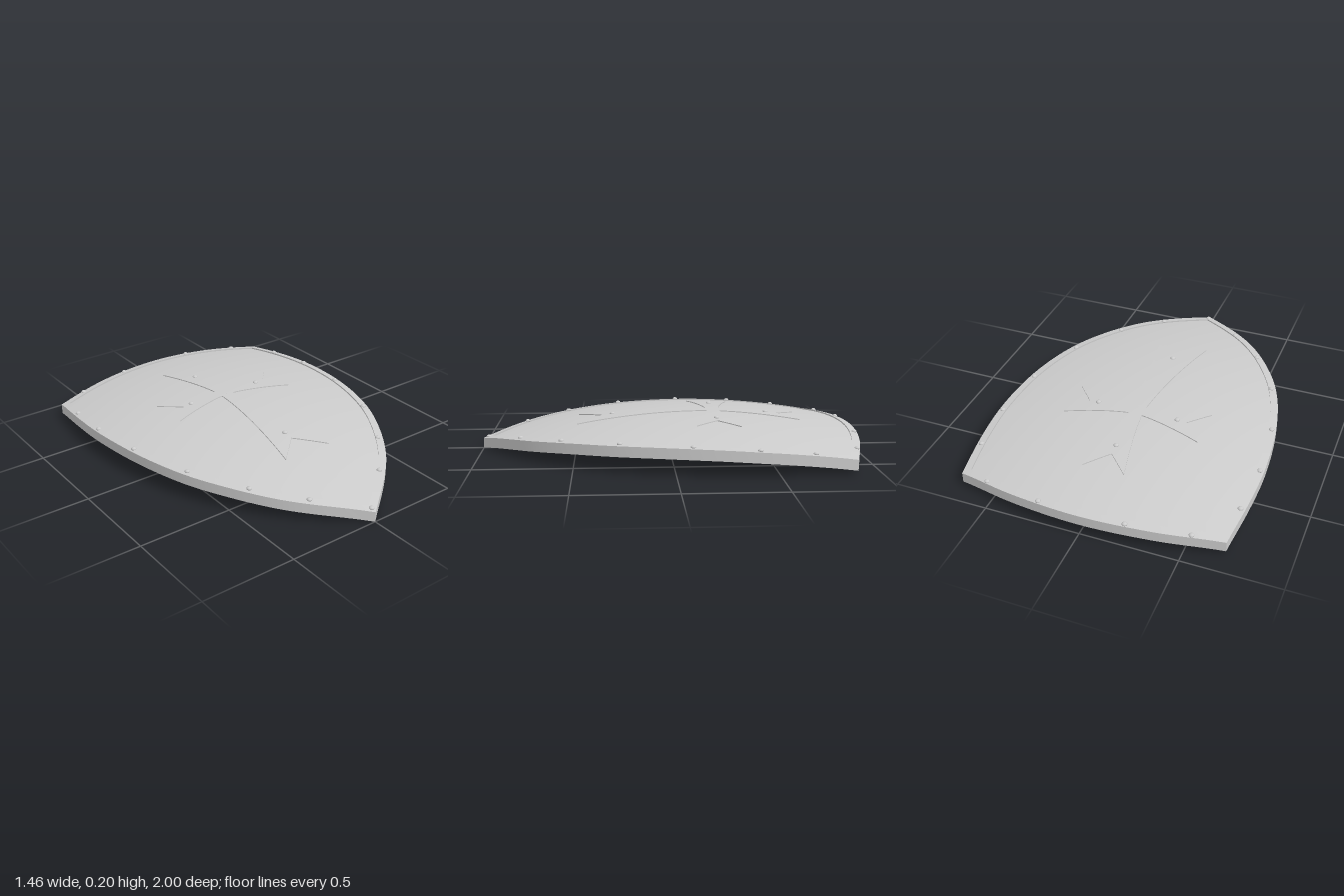
import * as THREE from 'three';
import { toCreasedNormals } from 'three/addons/utils/BufferGeometryUtils.js';

const THICK = 0.054, RIM_WIDTH = 0.04, RECESS = 0.008;
const material = new THREE.MeshStandardMaterial({ color: 0xcccccc });

// Height of the domed upper surface at rim level
const dome = (x, z) => 0.205 - 0.138 * x * x - 0.12 * (z + 0.12) ** 2;

function mesh(name, geometry, parent) {
  const m = new THREE.Mesh(geometry, material);
  m.name = name;
  parent.add(m);
  return m;
}

// Grid surface through rows of [x, y, z] points
function skin(rows, closed) {
  const n = rows[0].length, index = [];
  for (let r = 0; r < rows.length - 1; r++) {
    for (let i = 0; i < (closed ? n : n - 1); i++) {
      const j = (i + 1) % n, a = r * n, b = a + n;
      index.push(a + i, a + j, b + i, a + j, b + j, b + i);
    }
  }
  const g = new THREE.BufferGeometry();
  g.setAttribute('position', new THREE.Float32BufferAttribute(rows.flat(2), 3));
  g.setIndex(index);
  return toCreasedNormals(g, 0.5);
}

// Shield outline as [x, z], from the point along the left side and back round the right
function outline() {
  const curve = (pts, n) => new THREE.CatmullRomCurve3(
    pts.map(([x, z]) => new THREE.Vector3(x, 0, z))).getPoints(n).map(p => [p.x, p.z]);
  const side = curve([[0, 1], [0.24, 0.81], [0.36, 0.69], [0.49, 0.51], [0.61, 0.28],
    [0.695, -0.02], [0.73, -0.35], [0.722, -0.6], [0.69, -0.88]], 36);
  const top = curve([[0.69, -0.88], [0.36, -0.965], [0, -1], [-0.36, -0.965], [-0.69, -0.88]], 24);
  const mirrored = side.slice(1, -1).reverse().map(([x, z]) => [-x, z]);
  return [...side, ...top.slice(1), ...mirrored];
}

// Mitred inward offset of a closed outline
function inset(pts, d) {
  const n = pts.length;
  const normal = (a, b) => {
    const dx = b[0] - a[0], dz = b[1] - a[1], l = Math.hypot(dx, dz);
    return [dz / l, -dx / l];
  };
  return pts.map((p, i) => {
    const a = normal(pts[(i + n - 1) % n], p), b = normal(p, pts[(i + 1) % n]);
    const k = d / (1 + a[0] * b[0] + a[1] * b[1]);
    return [p[0] + (a[0] + b[0]) * k, p[1] + (a[1] + b[1]) * k];
  });
}

// Loop laid on the dome, optionally shrunk towards the middle
const ring = (pts, dy, t = 1) => pts.map(([x, z]) => {
  const px = x * t, pz = -0.12 + (z + 0.12) * t;
  return [px, dome(px, pz) + dy, pz];
});

// Flared cross arm with a notched end, lying on the panel
function crossArm(angle, tip, notch, w0, w1) {
  const NU = 16, NV = 8, rows = [], c = Math.cos(angle), s = Math.sin(angle);
  for (let i = -1; i <= NU + 1; i++) {
    const row = [];
    for (let j = -1; j <= NV + 1; j++) {
      const skirt = i < 0 || j < 0 || i > NU || j > NV;
      const u = THREE.MathUtils.clamp(i / NU, 0, 1);
      const v = THREE.MathUtils.clamp(j / NV, 0, 1) * 2 - 1;
      const along = u * THREE.MathUtils.lerp(notch, tip, Math.abs(v));
      const across = v * THREE.MathUtils.lerp(w0, w1, u ** 1.35);
      const x = along * s + across * c, z = -0.24 + along * c - across * s;
      row.push([x, dome(x, z) - RECESS + (skirt ? -0.004 : 0.005), z]);
    }
    rows.push(row);
  }
  // Reverse rows so that the faces point up
  return skin(rows.reverse(), false);
}

function rivet(parent, x, z, dy, flip = 1) {
  const g = new THREE.SphereGeometry(0.014, 14, 8);
  const m = mesh('rivet', g, parent);
  m.scale.y = 0.65;
  m.position.set(x, dome(x, z) + dy + 0.001 * flip, z);
}

// Curved grip strap with its two mounting pads
function handle(side) {
  const group = new THREE.Group();
  group.name = side > 0 ? 'leftHandle' : 'rightHandle';
  const ends = [[0.18 * side, 0.03], [0.28 * side, -0.47]];
  const dx = ends[1][0] - ends[0][0], dz = ends[1][1] - ends[0][1];
  const length = Math.hypot(dx, dz), N = 28, outer = [], inner = [];
  for (let i = 0; i <= N; i++) {
    const a = Math.PI * i / N;
    outer.push(new THREE.Vector2(-Math.cos(a) * length / 2, -0.118 * Math.sin(a) ** 0.8));
    inner.push(new THREE.Vector2(-Math.cos(a) * (length / 2 - 0.014), -0.104 * Math.sin(a) ** 0.8));
  }
  const g = new THREE.ExtrudeGeometry(new THREE.Shape([...outer, ...inner.reverse()]), {
    depth: 0.034, bevelEnabled: true, bevelSize: 0.003, bevelThickness: 0.004, bevelSegments: 1,
  });
  g.translate(0, 0, -0.017);
  const strap = mesh('strap', toCreasedNormals(g, 0.6), group);
  const mx = (ends[0][0] + ends[1][0]) / 2, mz = (ends[0][1] + ends[1][1]) / 2;
  strap.position.set(mx, dome(mx, mz) - THICK + 0.002, mz);
  strap.rotation.y = Math.atan2(-dz, dx);
  for (const [x, z] of ends) {
    const pad = mesh('handlePad', new THREE.CylinderGeometry(0.032, 0.028, 0.012, 20), group);
    pad.position.set(x, dome(x, z) - THICK - 0.004, z);
    rivet(group, x, z, -THICK - 0.01, -1);
  }
  return group;
}

export function createModel() {
  const shield = new THREE.Group();
  shield.name = 'shield';
  const outer = outline(), inner = inset(outer, RIM_WIDTH);
  const steps = Array.from({ length: 17 }, (_, i) => i / 16);

  // Domed body: hollow back, raised rim and recessed front panel
  mesh('backPanel', skin(steps.map(t => ring(outer, -THICK, t)), true), shield);
  mesh('rim', skin([ring(outer, -THICK), ring(outer, 0), ring(inner, 0), ring(inner, -RECESS)], true), shield);
  mesh('frontPanel', skin(steps.map(t => ring(inner, -RECESS, 1 - t)), true), shield);

  // Raised cross: long lower arm, two side arms, upper arm
  const cross = new THREE.Group();
  cross.name = 'cross';
  shield.add(cross);
  mesh('lowerArm', crossArm(0, 0.73, 0.6, 0.035, 0.14), cross);
  mesh('leftArm', crossArm(Math.PI / 2, 0.37, 0.27, 0.03, 0.115), cross);
  mesh('upperArm', crossArm(Math.PI, 0.46, 0.35, 0.035, 0.11), cross);
  mesh('rightArm', crossArm(-Math.PI / 2, 0.37, 0.27, 0.03, 0.115), cross);

  // Rivets round the rim and on the cross
  const rimSpots = [[0.222, -0.97], [0.53, -0.91], [0.692, -0.67], [0.71, -0.4],
    [0.682, -0.08], [0.585, 0.27], [0.422, 0.56], [0.228, 0.78]];
  for (const [x, z] of rimSpots) for (const s of [1, -1]) rivet(shield, x * s, z, 0);
  rivet(shield, 0, 0.97, 0);
  for (const [x, z] of [[0, -0.53], [0.22, -0.24], [-0.22, -0.24], [0, 0.305]]) rivet(cross, x, z, -0.003);

  // Grips on the back
  shield.add(handle(1), handle(-1));
  return shield;
}
